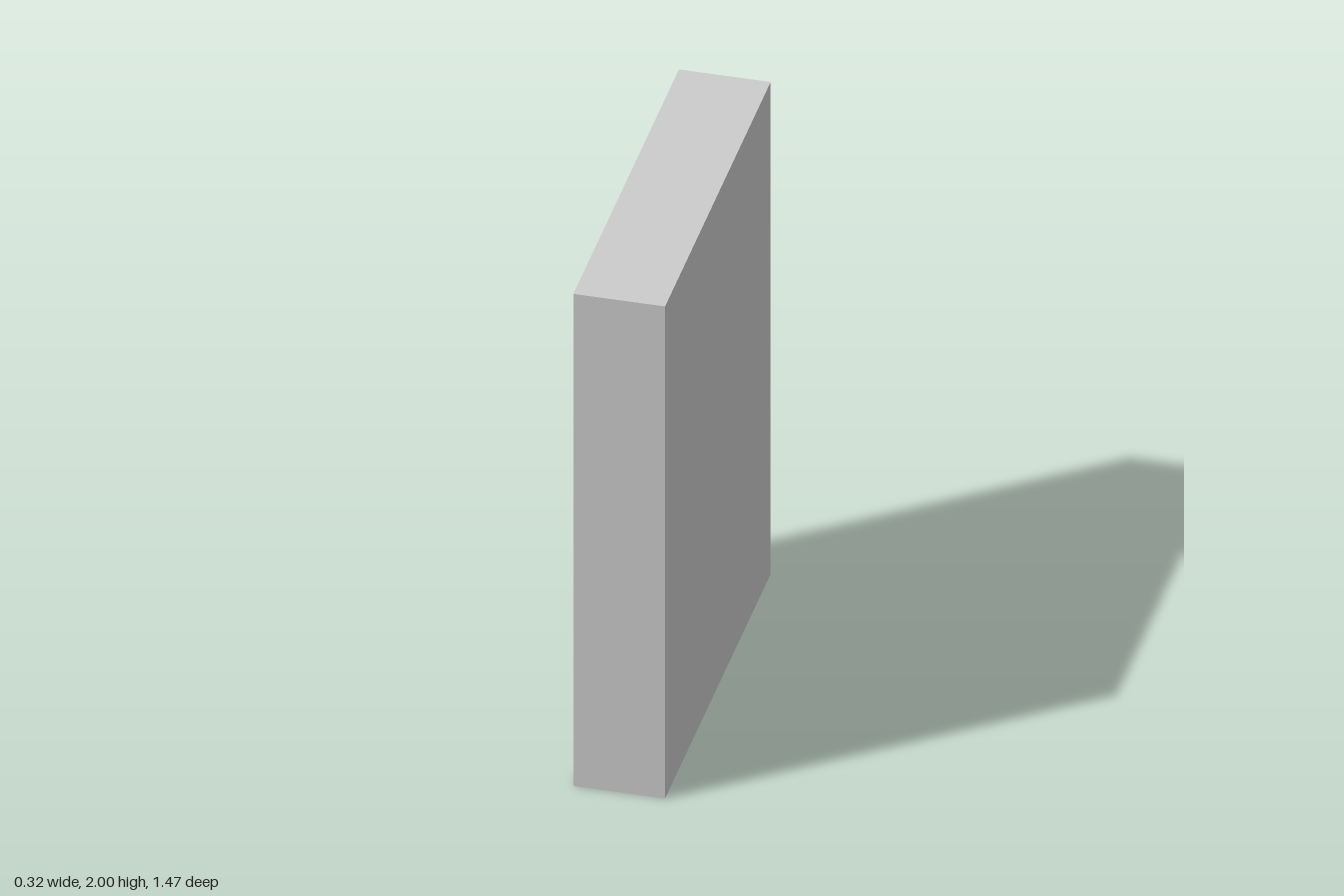
import * as THREE from 'three';

// Bookcase: closed back on +x, open shelves facing -x
const DEPTH = 0.324, HEIGHT = 2, WIDTH = 1.47;
const BOARD = 0.047, BACK = 0.07;

export function createModel() {
  const group = new THREE.Group();
  group.name = 'bookcase';
  const material = new THREE.MeshStandardMaterial({ color: 0xcccccc });

  const board = (name, w, h, d, x, y, z) => {
    const mesh = new THREE.Mesh(new THREE.BoxGeometry(w, h, d), material);
    mesh.name = name;
    mesh.position.set(x, y, z);
    group.add(mesh);
  };

  // Back panel over the full height and width
  board('backPanel', BACK, HEIGHT, WIDTH, (DEPTH - BACK) / 2, HEIGHT / 2, 0);

  // Upright side panels in front of it
  const inner = DEPTH - BACK, x = -BACK / 2;
  for (const s of [-1, 1]) {
    board(s > 0 ? 'frontSidePanel' : 'rearSidePanel', inner, HEIGHT, BOARD, x, HEIGHT / 2, s * (WIDTH - BOARD) / 2);
  }

  // Bottom, four unevenly spaced shelves and top, between the sides
  const levels = [BOARD / 2, 0.366, 0.744, 1.164, 1.559, HEIGHT - BOARD / 2];
  levels.forEach((y, i) => {
    const name = i === 0 ? 'bottomBoard' : i === levels.length - 1 ? 'topBoard' : `shelf${i}`;
    board(name, inner, BOARD, WIDTH - 2 * BOARD, x, y, 0);
  });

  return group;
}
